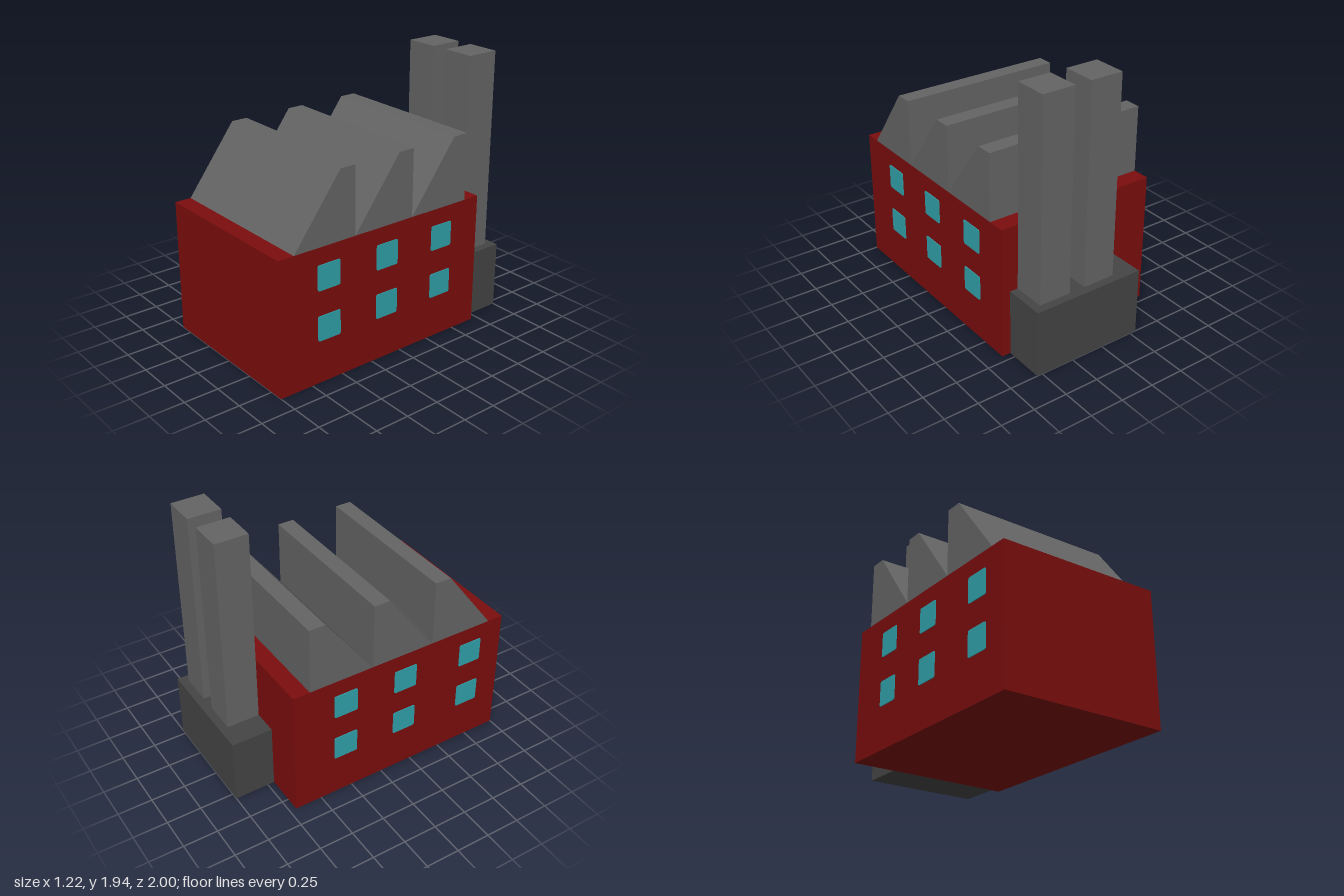
import * as THREE from 'three';

const mat = (name, color) => {
  const m = new THREE.MeshStandardMaterial({ color });
  m.name = name;
  return m;
};

export function createModel() {
  const red = mat('brick red', 0x7b0d0d);
  const grey = mat('grey', 0x646464);
  const dark = mat('dark grey', 0x444444);
  const teal = mat('window teal', 0x30a0a9);

  const model = new THREE.Group();
  model.name = 'factory';
  const add = (name, geometry, material) => {
    const mesh = new THREE.Mesh(geometry, material);
    mesh.name = name;
    model.add(mesh);
    return mesh;
  };
  // Box given by its limits on each axis
  const box = (name, [x0, x1], [y0, y1], [z0, z1], material) =>
    add(name, new THREE.BoxGeometry(x1 - x0, y1 - y0, z1 - z0), material)
      .position.set((x0 + x1) / 2, (y0 + y1) / 2, (z0 + z1) / 2);

  const half = 0.605, wallTop = 0.97, roofTop = 1.455;

  // Main hall
  box('hall', [-half, half], [0, wallTop], [-0.7, 1], red);

  // Sawtooth roof: slope to the front, upright at the back
  for (const z of [0.88, 0.395, -0.09]) {
    const s = new THREE.Shape();
    s.moveTo(-z, wallTop);
    s.lineTo(-z + 0.485, wallTop);
    s.lineTo(-z + 0.485, roofTop);
    s.lineTo(-z + 0.365, roofTop);
    s.closePath();
    const g = new THREE.ExtrudeGeometry(s, { depth: 2 * half, bevelEnabled: false });
    g.translate(0, 0, -half);
    g.rotateY(Math.PI / 2);
    add('roofTooth', g, grey);
  }

  // Boiler house and two square chimneys behind the hall
  box('boilerHouse', [-0.3, 0.54], [0, 0.49], [-1, -0.7], dark);
  for (const x of [-0.12, 0.24]) box('chimney', [x, x + 0.24], [0.49, 1.94], [-0.94, -0.7], grey);

  // Windows: thin plates with slightly rounded corners
  const w = 0.09, r = 0.012;
  const pane = new THREE.Shape();
  pane.moveTo(-w + r, -w);
  pane.lineTo(w - r, -w);
  pane.quadraticCurveTo(w, -w, w, -w + r);
  pane.lineTo(w, w - r);
  pane.quadraticCurveTo(w, w, w - r, w);
  pane.lineTo(-w + r, w);
  pane.quadraticCurveTo(-w, w, -w, w - r);
  pane.lineTo(-w, -w + r);
  pane.quadraticCurveTo(-w, -w, -w + r, -w);
  const paneGeometry = new THREE.ExtrudeGeometry(pane, { depth: 0.006, bevelEnabled: false, curveSegments: 3 });

  const rows = { '-1': [0.73, 0.18, -0.3], '1': [0.61, 0.125, -0.36] };
  for (const side of [-1, 1]) {
    for (const z of rows[side]) {
      for (const y of [0.4, 0.76]) {
        const win = add('window', paneGeometry, teal);
        win.position.set(side * half, y, z);
        win.rotation.y = side * Math.PI / 2;
      }
    }
  }
  return model;
}
